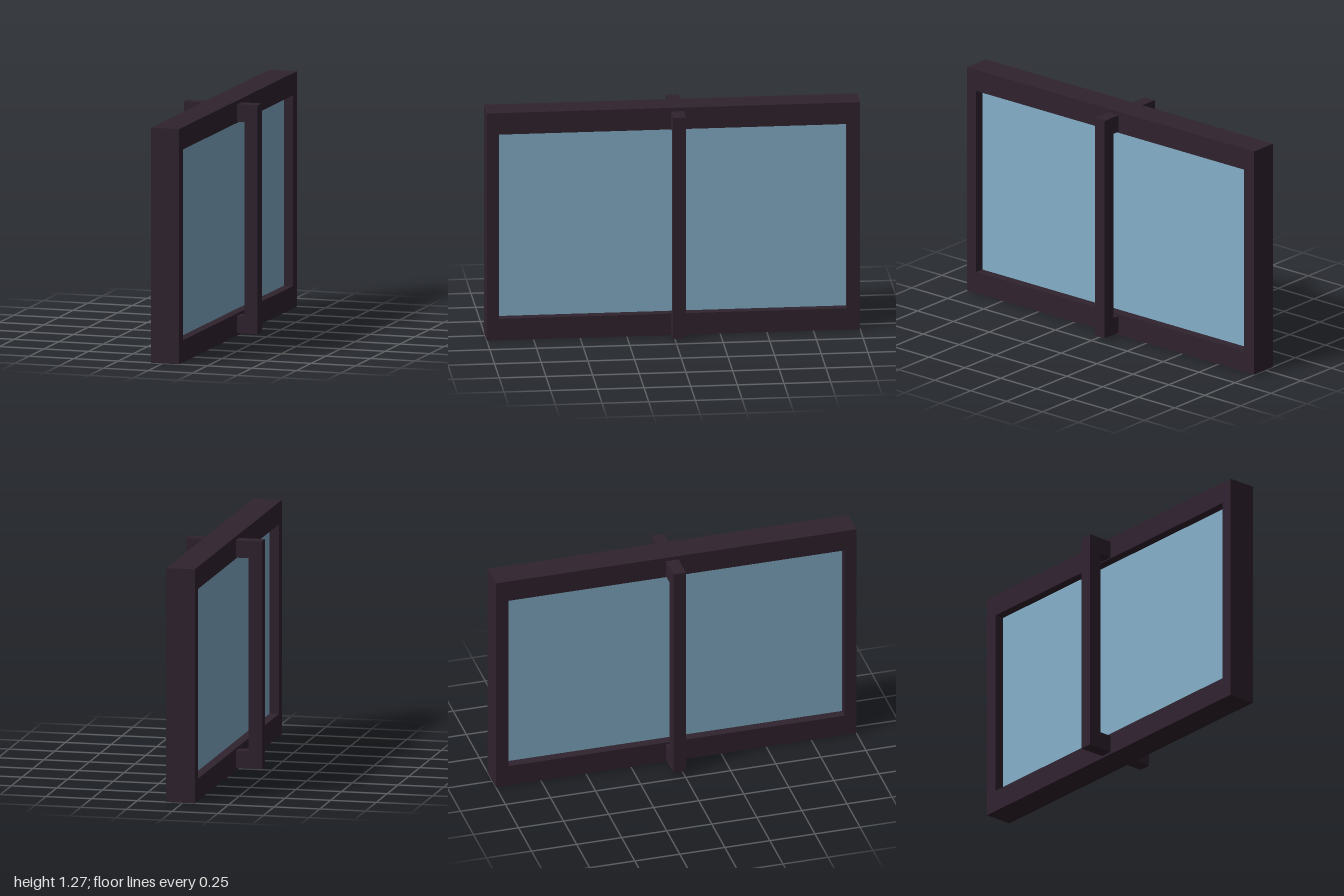
import * as THREE from 'three';

// Rectangular ring: outer and hole are [x0, y0, x1, y1], extruded along +z
function ringGeometry(outer, hole, depth) {
  const trace = (path, [x0, y0, x1, y1]) =>
    path.moveTo(x0, y0).lineTo(x1, y0).lineTo(x1, y1).lineTo(x0, y1).closePath();
  const shape = new THREE.Shape();
  trace(shape, outer);
  const opening = new THREE.Path();
  trace(opening, hole);
  shape.holes.push(opening);
  return new THREE.ExtrudeGeometry(shape, { depth, bevelEnabled: false });
}

export function createModel() {
  const group = new THREE.Group();
  const darkWood = new THREE.MeshStandardMaterial({ color: 0x30232f });
  darkWood.name = 'darkWood';
  const blueGlass = new THREE.MeshStandardMaterial({ color: 0x85b0ca });
  blueGlass.name = 'blueGlass';

  const add = (name, geometry, material, x, y, z) => {
    const mesh = new THREE.Mesh(geometry, material);
    mesh.name = name;
    mesh.position.set(x, y, z);
    group.add(mesh);
  };

  // Outer window frame, turned so its opening faces sideways
  const frame = ringGeometry([-1, 0, 1, 1.27], [-0.935, 0.12, 0.93, 1.15], 0.157);
  frame.rotateY(Math.PI / 2);
  add('windowFrame', frame, darkWood, -0.066, 0, 0);

  // Pane set into the middle of the frame's depth
  add('glassPane', new THREE.BoxGeometry(0.055, 1.05, 1.88), blueGlass, 0.0125, 0.635, 0.0025);

  // Handle loop wrapped through the frame, standing off both sides
  const handle = ringGeometry([-0.209, 0.014, 0.206, 1.25], [-0.136, 0.108, 0.132, 1.156], 0.069);
  add('handleLoop', handle, darkWood, 0, 0, -0.056);

  return group;
}
